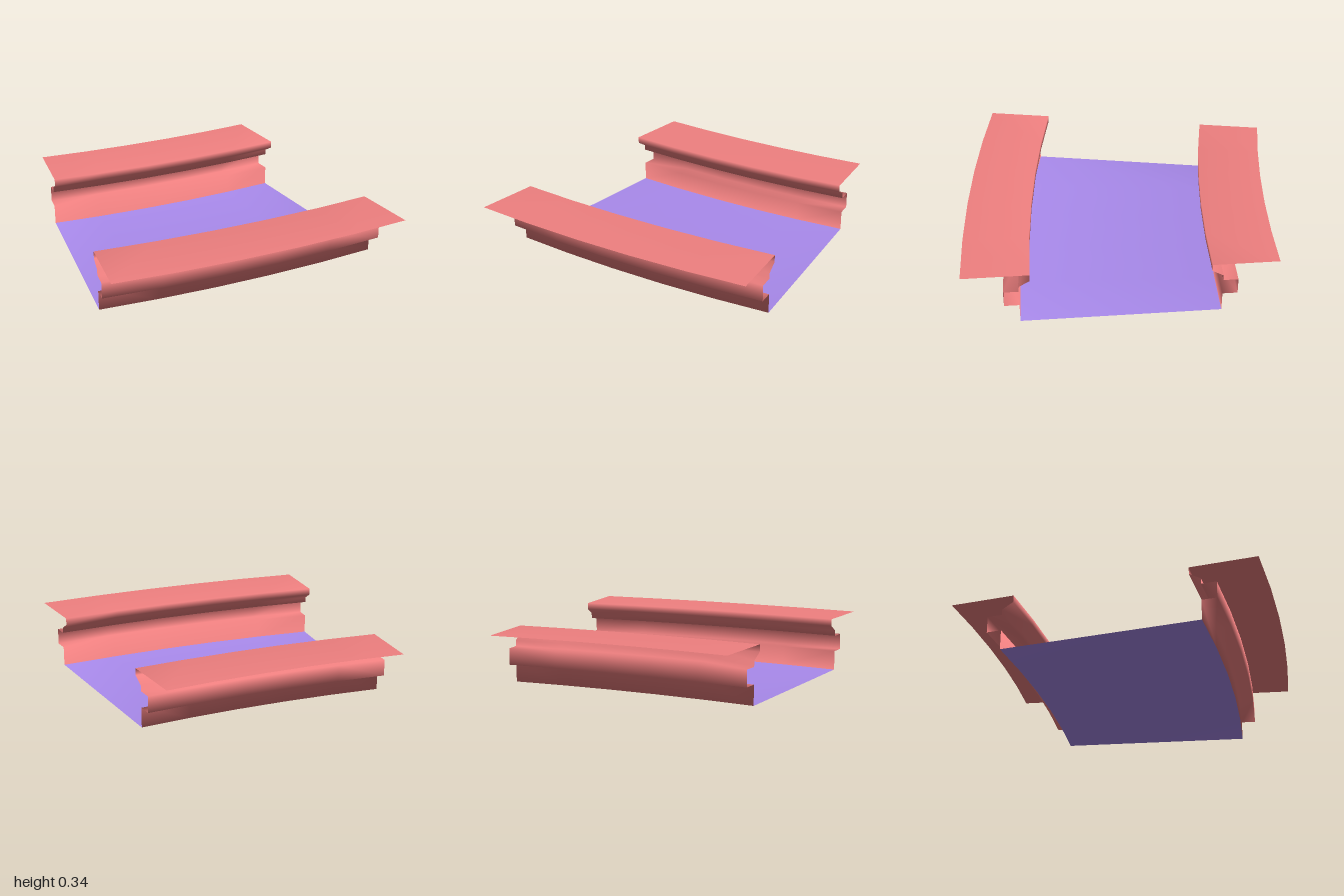
import * as THREE from 'three';

const ANGLE = Math.PI / 16;   // sweep of the curved section
const STEPS = 5;
const RADIUS = 9.457;         // outer edge radius
const START_X = -0.925;
const CENTRE_Z = 1 - RADIUS;  // pivot of the curve
const MID_Z = 0.0725;         // middle of the channel at the straight end

export function createModel() {
  const group = new THREE.Group();
  group.name = 'curvedChannelSection';

  // Half profile [offset from middle, height]: flange, lip, sloped neck, groove, foot
  const half = [
    [0.9275, 0.34], [0.53, 0.34], [0.53, 0.297], [0.598, 0.258], [0.598, 0.223],
    [0.688, 0.223], [0.688, 0.122], [0.598, 0.122], [0.598, 0],
  ];
  const profile = [...half, ...half.slice().reverse().map(([d, y]) => [-d, y])];
  const n = profile.length;

  // Sweep the profile about the pivot
  const positions = [];
  for (let s = 0; s <= STEPS; s++) {
    const a = (ANGLE * s) / STEPS;
    for (const [d, y] of profile) {
      const r = MID_Z + d - CENTRE_Z;
      positions.push(START_X + r * Math.sin(a), y, CENTRE_Z + r * Math.cos(a));
    }
  }

  // Faces for the profile spans from..to
  const spans = (from, to) => {
    const index = [];
    for (let s = 0; s < STEPS; s++) {
      for (let i = from; i < to; i++) {
        const a = s * n + i, b = a + n;
        index.push(a, b, b + 1, a, b + 1, a + 1);
      }
    }
    return index;
  };

  // Normals run smoothly over the whole profile, shared by all parts
  const whole = new THREE.BufferGeometry();
  whole.setAttribute('position', new THREE.Float32BufferAttribute(positions, 3));
  whole.setIndex(spans(0, n - 1));
  whole.computeVertexNormals();

  const wallMaterial = new THREE.MeshStandardMaterial({ color: 0xf08080, side: THREE.DoubleSide });
  const deckMaterial = new THREE.MeshStandardMaterial({ color: 0xa98aec, side: THREE.DoubleSide });

  const addPart = (name, from, to, material) => {
    const geometry = whole.clone();
    geometry.setIndex(spans(from, to));
    const mesh = new THREE.Mesh(geometry, material);
    mesh.name = name;
    group.add(mesh);
  };

  const deck = half.length - 1;
  addPart('frontWall', 0, deck, wallMaterial);
  addPart('deck', deck, deck + 1, deckMaterial);
  addPart('backWall', deck + 1, n - 1, wallMaterial);
  return group;
}
